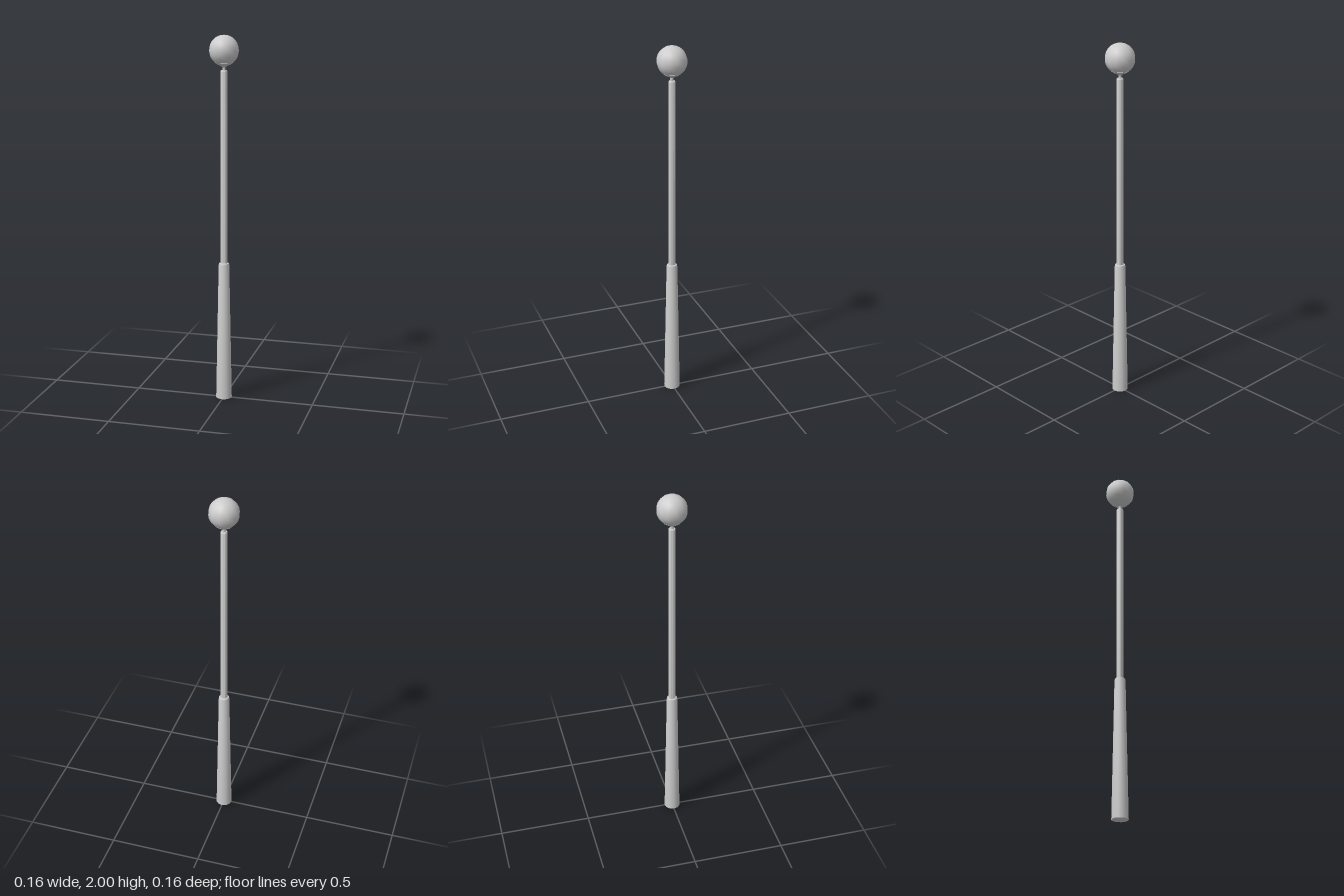
import * as THREE from 'three';
import { toCreasedNormals } from 'three/addons/utils/BufferGeometryUtils.js';

const SIDES = 12;

export function createModel() {
  const group = new THREE.Group();
  group.name = 'globeLamp';
  const material = new THREE.MeshStandardMaterial({ color: 0xcccccc });

  const add = (name, geometry) => {
    const mesh = new THREE.Mesh(geometry, material);
    mesh.name = name;
    group.add(mesh);
    return mesh;
  };

  // Turned part from [radius, height] pairs, listed from bottom to top
  const turned = (name, profile) => {
    const points = profile.map(([r, y]) => new THREE.Vector2(r, y));
    const geometry = new THREE.LatheGeometry(points, SIDES);
    return add(name, toCreasedNormals(geometry, 0.6));
  };

  // Tapered lower post with a bevelled shoulder
  turned('basePost', [[0, 0], [0.045, 0], [0.03, 0.76], [0.027, 0.77], [0.018, 0.773]]);

  // Slim upper pole with a bevelled top
  turned('upperPole', [[0.019, 0.765], [0.019, 1.81], [0.016, 1.816], [0, 1.816]]);

  // Thin neck flaring into a cup under the globe
  turned('neckAndCup', [[0.009, 1.81], [0.009, 1.832], [0.018, 1.839], [0.036, 1.846], [0.05, 1.857], [0.047, 1.859]]);

  // Round lamp globe
  add('globe', new THREE.SphereGeometry(0.08, SIDES, 16)).position.y = 1.92;

  return group;
}
